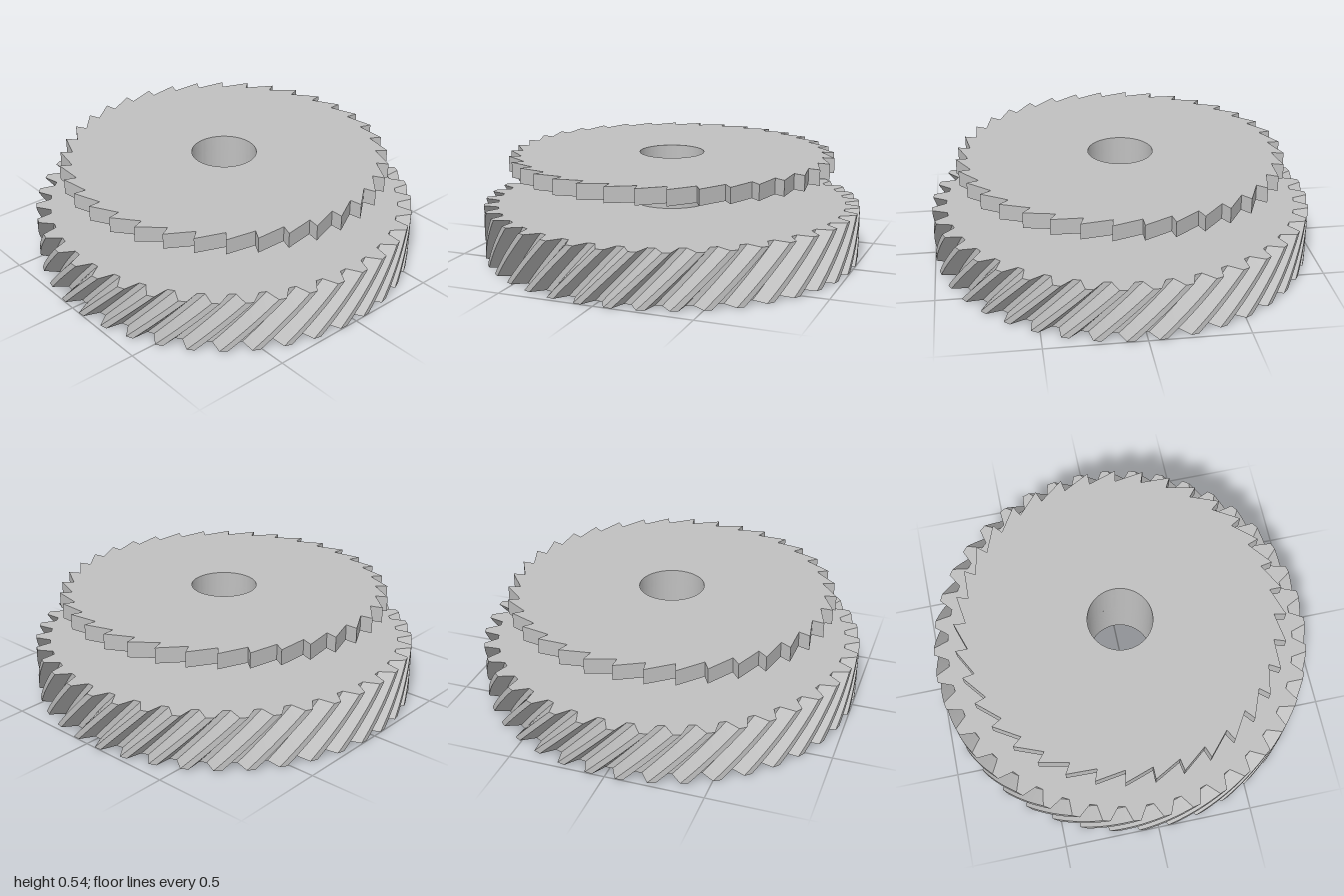
import * as THREE from 'three';
import { toCreasedNormals } from 'three/addons/utils/BufferGeometryUtils.js';

const BORE = 0.17, GEAR_H = 0.28, GEAR_TWIST = 0.28, HUB_TOP = 0.46, TOP = 0.54;

// Toothed outline: repeats [fraction of pitch, radius] pairs around the circle
function toothedShape(teeth, profile) {
  const pitch = (Math.PI * 2) / teeth;
  const points = [];
  for (let i = 0; i < teeth; i++) {
    for (const [f, r] of profile) {
      const a = (i + f) * pitch;
      points.push(new THREE.Vector2(r * Math.cos(a), r * Math.sin(a)));
    }
  }
  return new THREE.Shape(points);
}

// Bored plate between two heights, optionally twisted along its axis
function boredPart(name, shape, y0, y1, material, twist = 0, steps = 1) {
  shape.holes.push(new THREE.Path().absarc(0, 0, BORE, 0, Math.PI * 2, true));
  const height = y1 - y0;
  const geo = new THREE.ExtrudeGeometry(shape, { depth: height, steps, bevelEnabled: false, curveSegments: 64 });
  const pos = geo.attributes.position;
  for (let i = 0; i < pos.count; i++) {
    const a = (twist * pos.getZ(i)) / height;
    const x = pos.getX(i), y = pos.getY(i);
    pos.setXY(i, x * Math.cos(a) - y * Math.sin(a), x * Math.sin(a) + y * Math.cos(a));
  }
  geo.rotateX(-Math.PI / 2);
  geo.translate(0, y0, 0);
  geo.computeVertexNormals();
  const mesh = new THREE.Mesh(toCreasedNormals(geo, 0.25), material);
  mesh.name = name;
  return mesh;
}

export function createModel() {
  const group = new THREE.Group();
  group.name = 'helicalGearWithRatchet';
  const grey = new THREE.MeshStandardMaterial({ color: 0xc0c0c0 });
  grey.name = 'plain grey';

  // Helical gear: trapezoidal teeth, each pitch split into tip, flank, root, flank
  const gear = toothedShape(40, [[0.125, 1], [0.375, 1], [0.625, 0.925], [0.875, 0.925]]);
  // Root gap sits a quarter pitch before each axis at the top face
  const topPhase = -Math.PI * 2 / 40;
  const gearMesh = boredPart('helicalGear', gear, 0, GEAR_H, grey, GEAR_TWIST, 10);
  gearMesh.rotation.y = topPhase - GEAR_TWIST;
  group.add(gearMesh);

  // Hub between the gear and the ratchet wheel
  const hub = new THREE.Shape().absarc(0, 0, 0.21, 0, Math.PI * 2, false);
  group.add(boredPart('hub', hub, GEAR_H, HUB_TOP, grey));

  // Ratchet wheel: radial step up to each tip, then a long ramp down
  const ratchet = toothedShape(36, [[0, 0.797], [0, 0.86]]);
  group.add(boredPart('ratchetWheel', ratchet, HUB_TOP, TOP, grey));

  return group;
}
